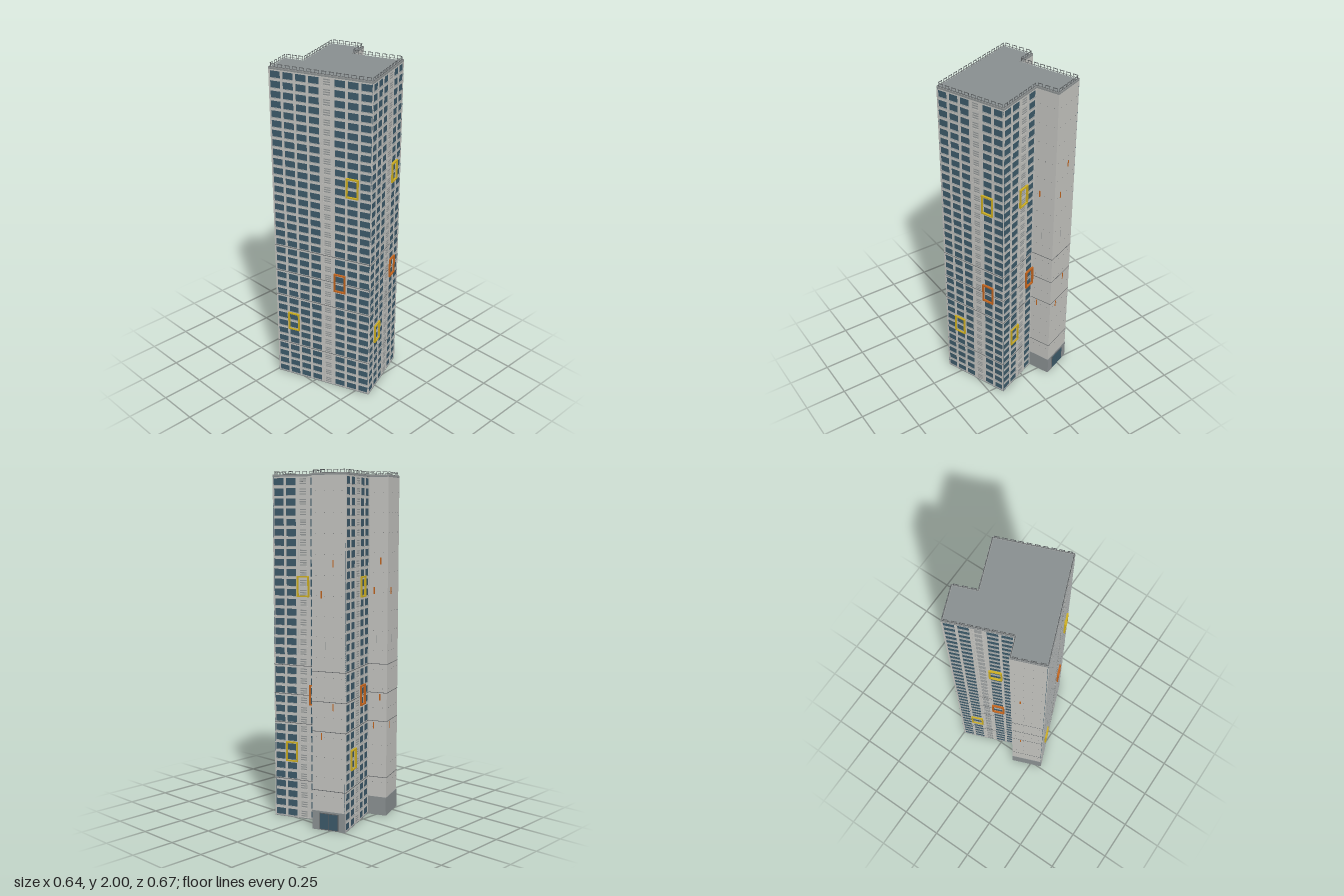
import * as THREE from 'three';
import { mergeGeometries } from 'three/addons/utils/BufferGeometryUtils.js';

const make = (name, color) => {
  const m = new THREE.MeshStandardMaterial({ color });
  m.name = name;
  return m;
};
const MAT = {
  wall: make('pale concrete', 0xc6c6c2),
  glass: make('blue glass', 0x3d5b6b),
  roof: make('roof grey', 0x899091),
  plinth: make('plinth grey', 0x8c9294),
  trim: make('dark grey trim', 0x5c6062),
  slat: make('louvre grey', 0x969a9a),
  yellow: make('yellow', 0xcfb022),
  orange: make('orange', 0xc4661f),
};
const FLOORS = 35, H = 0.0563, TOP = FLOORS * H;
const INSET = 0.006; // depth of the glazing behind the wall line

// Footprint; d insets every side, g insets only the glazed sides
function outline(d, g = d) {
  return [
    [-0.209 + g, -0.335 + d], [-0.015 - d, -0.335 + d], [-0.015 - d, -0.223 + g], [0.349 - d, -0.223 + g],
    [0.349 - d, -0.022 - d], [0.214 - g, -0.022 - d], [0.214 - g, 0.275 - g], [-0.209 + g, 0.275 - g],
  ];
}
const points = (d, g) => outline(d, g).map(([x, z]) => new THREE.Vector2(x, -z));

function slab(name, mat, y0, y1, pts, hole) {
  const shape = new THREE.Shape(pts);
  if (hole) shape.holes.push(new THREE.Path(hole));
  const geo = new THREE.ExtrudeGeometry(shape, { depth: y1 - y0, bevelEnabled: false });
  geo.rotateX(-Math.PI / 2).translate(0, y0, 0);
  const mesh = new THREE.Mesh(geo, mat);
  mesh.name = name;
  return mesh;
}

// Box standing from z0 to z1 out of a wall, centred on (x, y)
function box(x, y, w, h, z0, z1) {
  return new THREE.BoxGeometry(w, h, z1 - z0).translate(x, y, (z0 + z1) / 2);
}
function part(group, name, mat, boxes) {
  if (!boxes.length) return;
  const mesh = new THREE.Mesh(mergeGeometries(boxes), mat);
  mesh.name = name;
  group.add(mesh);
}

// Group whose x runs along a wall (left to right from outside) and z points out
function wallGroup(name, x, z, turn) {
  const g = new THREE.Group();
  g.name = name;
  g.position.set(x, 0, z);
  g.rotation.y = turn * Math.PI / 2;
  return g;
}

// Glazed side: one louvred bay, the others windows; frames are [bay, y, material]
function facade(name, x, z, turn, length, bays, louvre, frames) {
  const g = wallGroup(name, x, z, turn);
  const bay = length / bays, mid = i => -length / 2 + (i + 0.5) * bay;
  const glass = [], piers = [], bands = [], slats = [], rails = [];
  for (let i = 0; i <= bays; i++) {
    const end = i === 0 ? 0.004 : i === bays ? -0.004 : 0;
    piers.push(box(-length / 2 + i * bay + end, TOP / 2, end ? 0.008 : 0.014, TOP, -INSET, 0));
  }
  for (let i = 0; i < bays; i++) {
    if (i === louvre) {
      piers.push(box(mid(i), TOP / 2, bay, TOP, -INSET, -0.002));
      for (let f = 0; f < FLOORS; f++)
        for (let k = 0; k < 3; k++)
          slats.push(box(mid(i), (f + 0.3 + k * 0.23) * H, bay * 0.5, 0.006, -0.003, 0.001));
    } else {
      glass.push(box(mid(i), TOP / 2, bay, TOP, -INSET, -INSET + 0.002));
      for (let f = 0; f < FLOORS; f++)
        rails.push(box(mid(i), (f + 0.16) * H, bay - 0.014, 0.002, -0.004, 0.002));
    }
  }
  for (let f = 0; f <= FLOORS; f++) {
    const h = f === 0 || f === FLOORS ? 0.008 : 0.015;
    const y = f === 0 ? 0.004 : f === FLOORS ? TOP - 0.004 : f * H;
    bands.push(box(0, y, length, h, -INSET, -0.001));
  }
  part(g, 'windows', MAT.glass, glass);
  part(g, 'piers', MAT.wall, piers);
  part(g, 'floorBands', MAT.wall, bands);
  part(g, 'louvreSlats', MAT.slat, slats);
  part(g, 'windowSills', MAT.slat, rails);
  part(g, 'jointLines', MAT.trim, [4, 10, 13, 16].map(f => box(0, f * H + 0.005, length, 0.003, -0.002, 0.0005)));
  // Coloured picture frames two floors high
  for (const [i, y, mat] of frames) {
    const w = 0.074, h = 0.118, b = 0.008;
    const sides = [-1, 1].flatMap(s => [
      box(mid(i) + s * (w - b) / 2, y, b, h, -0.002, 0.01),
      box(mid(i), y + s * (h - b) / 2, w, b, -0.002, 0.01),
    ]);
    part(g, 'accentFrame', mat, sides);
  }
  return g;
}

// Plain concrete side with plinth, joints, tie holes and narrow orange markers
function blankWall(name, x, z, turn, length, marks) {
  const g = wallGroup(name, x, z, turn);
  const at = t => (t - 0.5) * length;
  part(g, 'plinth', MAT.plinth, [box(0, 0.055, length, 0.11, 0, 0.002)]);
  part(g, 'jointLines', MAT.trim, [4, 10, 13, 16].map(f => box(0, f * H + 0.005, length, 0.003, 0, 0.001)));
  const holes = [], cols = Math.max(2, Math.round(length / 0.045));
  for (let f = 3; f < FLOORS; f += 2)
    for (let c = 0; c < cols; c++) holes.push(box(at((c + 0.5) / cols), (f + 0.5) * H, 0.003, 0.003, 0, 0.001));
  part(g, 'tieHoles', MAT.trim, holes);
  part(g, 'markers', MAT.orange, marks.map(([t, y]) => box(at(t), y, 0.006, 0.04, 0, 0.003)));
  part(g, 'seam', MAT.slat, [box(at(0.41), 1.05, 0.003, 0.045, 0, 0.001)]);
  return g;
}

export function createModel() {
  const model = new THREE.Group();
  const tower = new THREE.Group();
  tower.name = 'tower';
  tower.rotation.y = THREE.MathUtils.degToRad(21.3);
  model.add(tower);

  // Body, underside and roof
  tower.add(slab('body', MAT.wall, 0.004, TOP, points(0, INSET)));
  tower.add(slab('underside', MAT.roof, 0, 0.004, points(0)));
  tower.add(slab('roofDeck', MAT.roof, TOP, TOP + 0.004, points(0)));
  tower.add(slab('parapet', MAT.slat, TOP + 0.004, TOP + 0.012, points(0), points(0.009)));
  tower.add(slab('parapetCap', MAT.trim, TOP + 0.012, TOP + 0.0135, points(0.003), points(0.006)));

  // Glazed sides
  const { yellow, orange } = MAT, hi = 1.36, middle = 0.74, low = 0.397;
  tower.add(facade('frontFacade', 0.0025, 0.275, 0, 0.423, 6, 3, [[4, hi, yellow], [4, middle, orange], [1, low, yellow]]));
  tower.add(facade('leftFacade', 0.214, 0.1265, 1, 0.297, 4, 2, [[2, hi, yellow], [3, middle, orange], [1, low, yellow]]));
  tower.add(facade('backFacade', 0.167, -0.223, 2, 0.364, 5, 2, [[3, hi, yellow], [3, middle, orange], [1, low, yellow]]));
  tower.add(facade('rightFacade', -0.209, -0.03, -1, 0.61, 8, 4, [[6, hi, yellow], [5, middle, orange], [1, low, yellow]]));

  // Plain sides of the two wings
  const two = [[0.28, 1.33], [0.28, 0.54]], four = [...two, [0.62, 1.5], [0.62, 0.71]];
  const entryWall = blankWall('entryWall', 0.349, -0.1225, 1, 0.201, four);
  tower.add(entryWall);
  tower.add(blankWall('sideWingFrontWall', 0.2815, -0.022, 0, 0.135, two));
  tower.add(blankWall('backWingSideWall', -0.015, -0.279, 1, 0.112, four));
  tower.add(blankWall('backWingEndWall', -0.112, -0.335, 2, 0.194, two));

  // Glass entrance
  part(entryWall, 'entranceFrame', MAT.trim, [box(0, 0.052, 0.114, 0.096, 0, 0.004)]);
  part(entryWall, 'entranceGlass', MAT.glass, [-1, 1].map(s => box(s * 0.027, 0.052, 0.052, 0.088, 0, 0.006)));

  // Broken railing around the roof edge
  const pts = outline(0.005), rail = [];
  pts.forEach(([x0, z0], i) => {
    const [x1, z1] = pts[(i + 1) % pts.length];
    const len = Math.hypot(x1 - x0, z1 - z0), n = Math.round(len / 0.042), angle = -Math.atan2(z1 - z0, x1 - x0);
    for (let k = 0; k < n; k++) {
      const s = (k + 0.5) * len / n;
      for (const b of [box(s, 1.9985, 0.028, 0.003, -0.0015, 0.0015),
        ...[-0.012, 0.012].map(o => box(s + o, 1.988, 0.002, 0.022, -0.001, 0.001))])
        rail.push(b.rotateY(angle).translate(x0, 0, z0));
    }
  });
  part(tower, 'roofRailing', MAT.trim, rail);
  return model;
}
